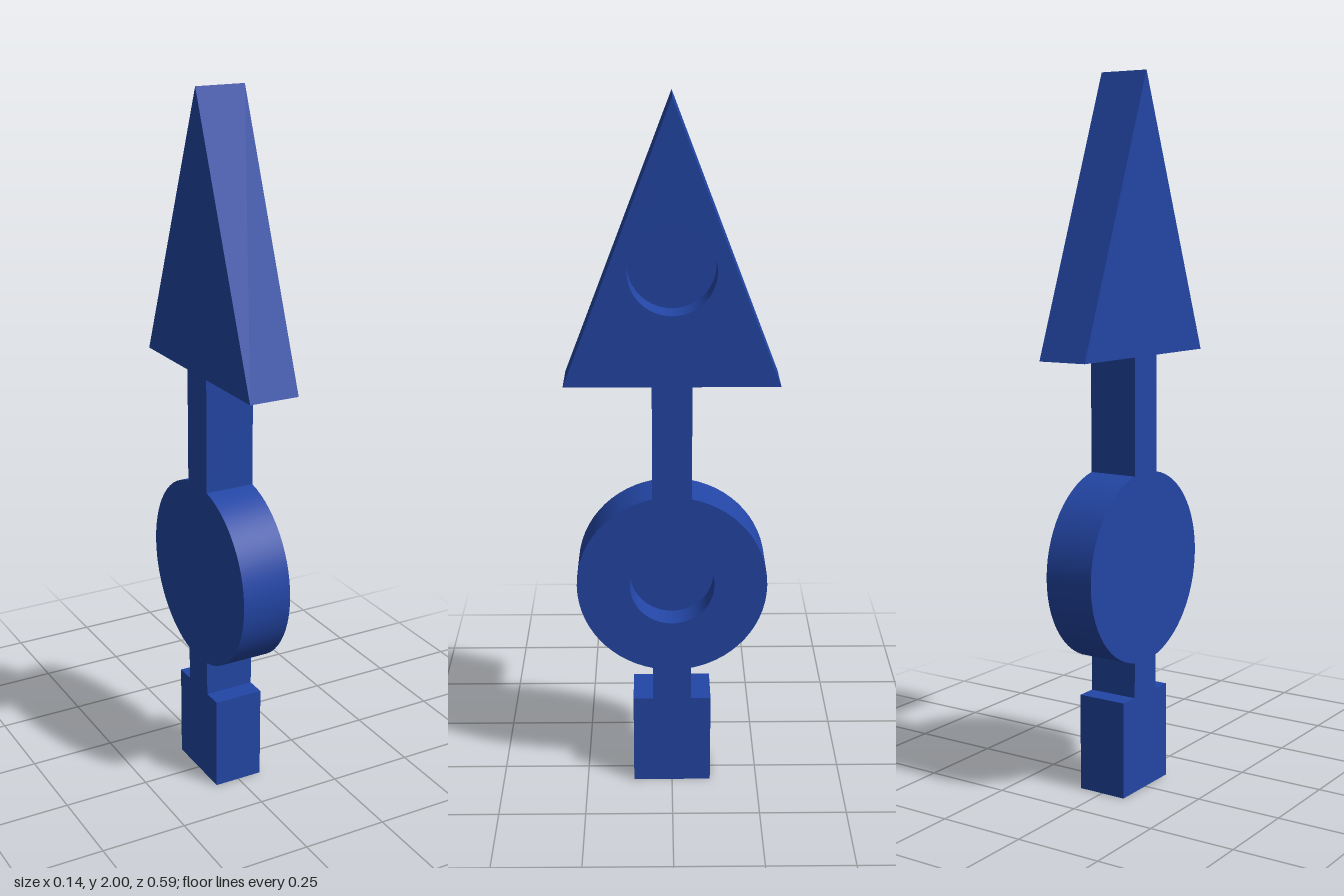
import * as THREE from 'three';
import { toCreasedNormals } from 'three/addons/utils/BufferGeometryUtils.js';

const THICK = 0.145;
const SOCKET_R = 0.12;
const SOCKET_DEPTH = 0.08;

export function createModel() {
  const group = new THREE.Group();
  const blue = new THREE.MeshStandardMaterial({ color: 0x2346a5 });
  blue.name = 'deep blue';

  const add = (name, geometry, y = 0) => {
    const mesh = new THREE.Mesh(geometry, blue);
    mesh.name = name;
    mesh.position.y = y;
    group.add(mesh);
  };

  // Upright plate with a round hole, its profile drawn in the z-y plane
  const plate = (name, shape, holeY) => {
    shape.holes.push(new THREE.Path().absarc(0, holeY, SOCKET_R, 0, Math.PI * 2, true));
    const geo = new THREE.ExtrudeGeometry(shape, { depth: THICK, bevelEnabled: false, curveSegments: 32 });
    geo.translate(0, 0, -THICK / 2).rotateY(Math.PI / 2);
    add(name, toCreasedNormals(geo, 0.5));

    // Plug closes the hole on the left's opposite side, leaving a blind socket
    const floor = THICK - SOCKET_DEPTH;
    const plug = new THREE.CylinderGeometry(SOCKET_R, SOCKET_R, floor, 64);
    plug.rotateZ(-Math.PI / 2).translate(-THICK / 2 + floor / 2, 0, 0);
    add(name + 'SocketFloor', plug, holeY);
  };

  const bar = (name, width, y0, y1) =>
    add(name, new THREE.BoxGeometry(THICK, y1 - y0, width), (y0 + y1) / 2);

  // Arrow-shaped head
  const head = new THREE.Shape();
  head.moveTo(-0.295, 1.232);
  head.lineTo(0.295, 1.232);
  head.lineTo(0, 2);
  head.closePath();
  plate('arrowHead', head, 1.55);

  // Round disc
  const discY = 0.64, discR = 0.27, shaftWidth = 0.11;
  plate('disc', new THREE.Shape().absarc(0, discY, discR, 0, Math.PI * 2, false), discY);

  // Shaft sections meet the disc along its rim
  const reach = Math.sqrt(discR ** 2 - (shaftWidth / 2) ** 2);
  bar('upperShaft', shaftWidth, discY + reach, 1.232);
  bar('lowerShaft', shaftWidth, 0.275, discY - reach);

  // Foot block
  bar('footBlock', 0.225, 0, 0.275);

  return group;
}
